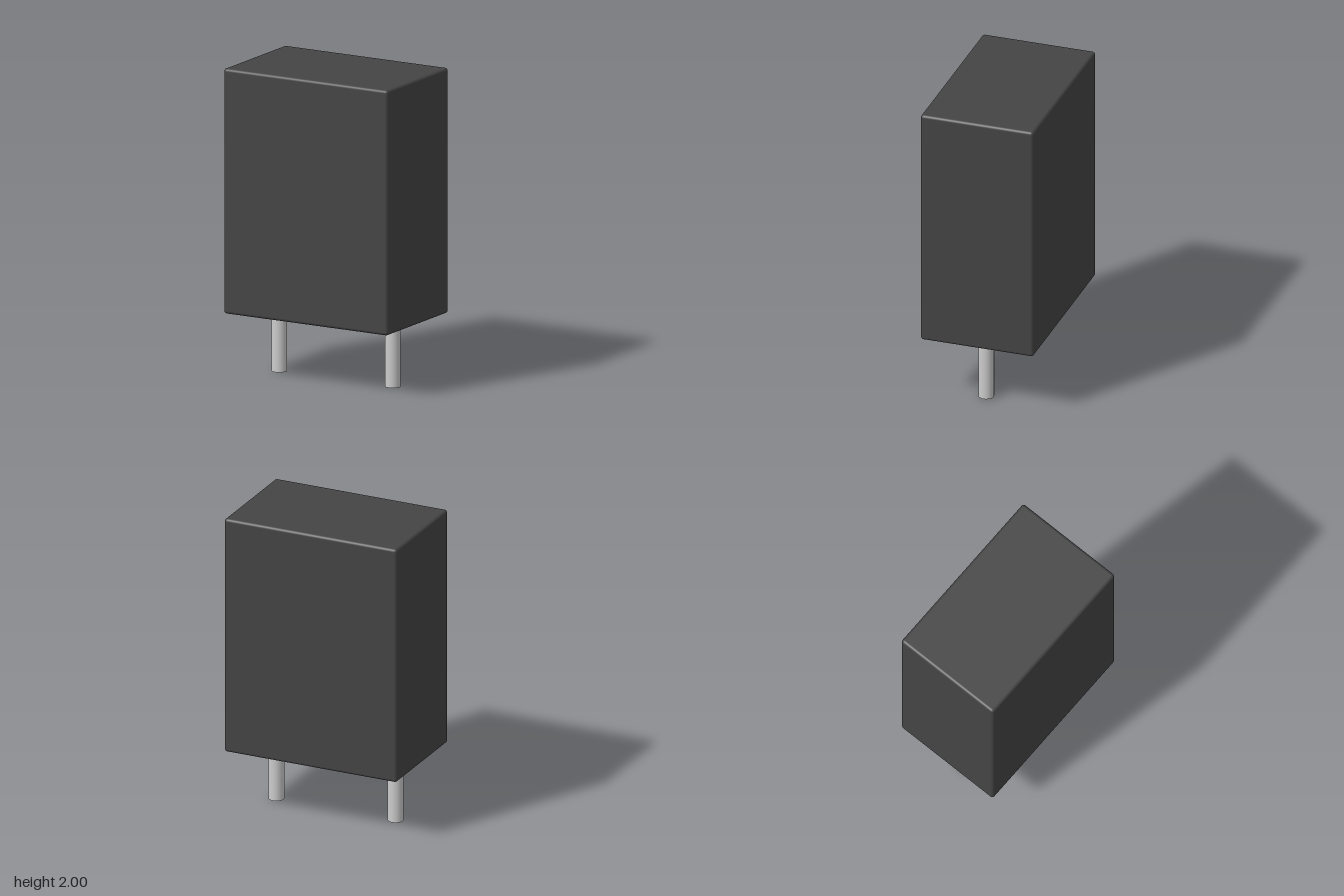
import * as THREE from 'three';
import { RoundedBoxGeometry } from 'three/addons/geometries/RoundedBoxGeometry.js';

export function createModel() {
  const model = new THREE.Group();
  model.name = 'twoPinComponent';

  const casing = new THREE.MeshStandardMaterial({ color: 0x444444 });
  const metal = new THREE.MeshStandardMaterial({ color: 0xcccccc });

  // Casing: box with softly rounded edges
  const bottom = 0.42, top = 2;
  const body = new THREE.Mesh(new RoundedBoxGeometry(1.2, top - bottom, 0.75, 4, 0.02), casing);
  body.name = 'body';
  body.position.y = (bottom + top) / 2;
  model.add(body);

  // Two round pins, ending just inside the casing
  const pinLength = bottom + 0.01;
  const pinGeometry = new THREE.CylinderGeometry(0.05, 0.05, pinLength, 32);
  for (const side of [-1, 1]) {
    const pin = new THREE.Mesh(pinGeometry, metal);
    pin.name = side > 0 ? 'leftPin' : 'rightPin';
    pin.position.set(side * 0.415, pinLength / 2, 0);
    model.add(pin);
  }

  return model;
}
